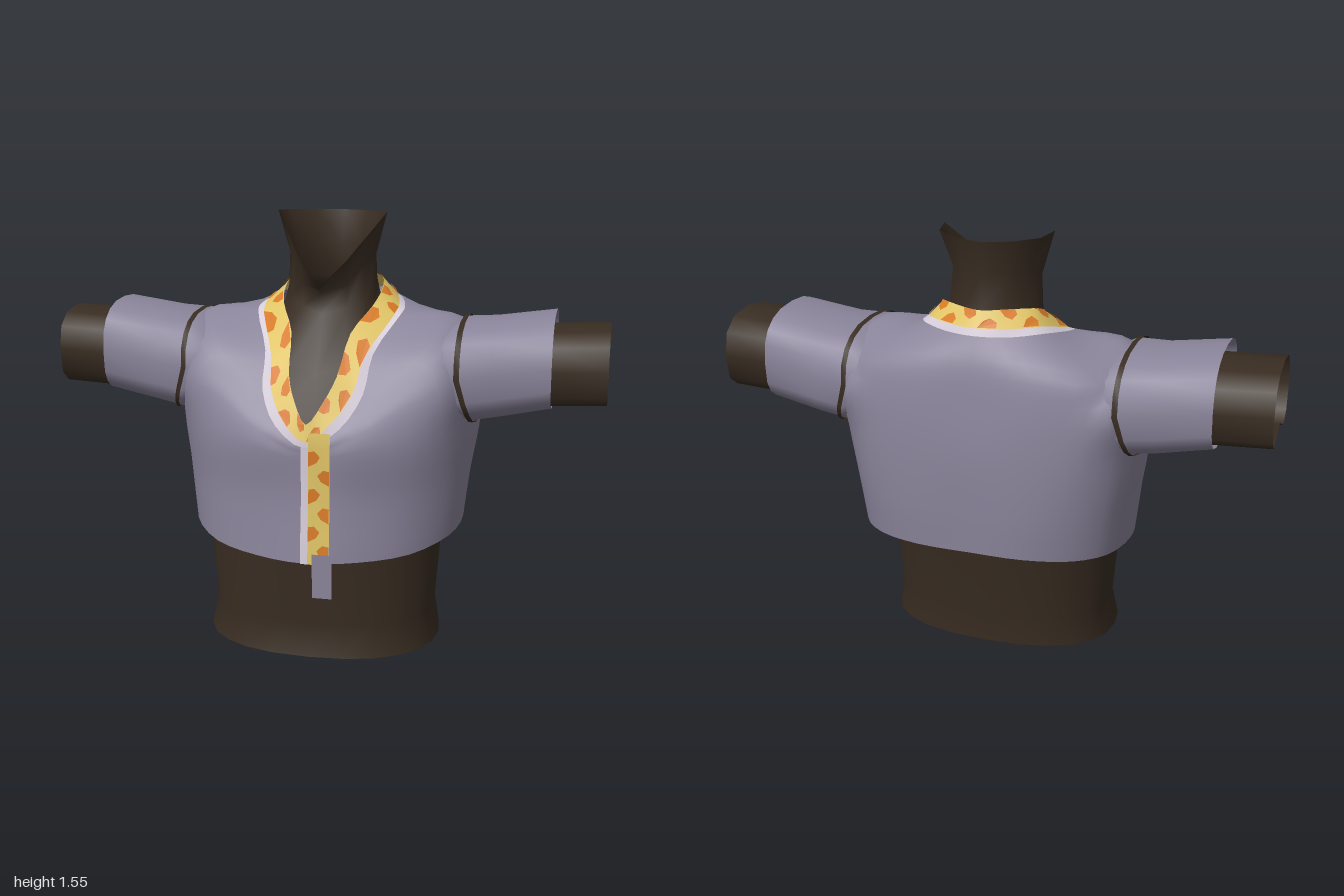
import * as THREE from 'three';

const V = (p) => new THREE.Vector3(...p);
const paint = (name, color) => {
  const m = new THREE.MeshStandardMaterial({ color, side: THREE.DoubleSide });
  m.name = name;
  return m;
};

// Half a ring (front centre to back centre on the +x side) mirrored into a closed ring
const mirrored = (half) => [
  ...half.map(V),
  ...half.slice(1, -1).reverse().map(([x, y, z]) => V([-x, y, z])),
];
const ringCurve = (ring) => new THREE.CatmullRomCurve3(ring, true);

// Skin a surface over closed rings; skip(centre) leaves openings
function loft(rings, su = 1, sv = 1, skip = () => false) {
  const n = rings[0].length * su, rows = (rings.length - 1) * sv;
  const dense = rings.map((r) => {
    const c = ringCurve(r);
    return Array.from({ length: n }, (_, k) => c.getPoint(k / n));
  });
  const columns = Array.from({ length: n }, (_, k) => {
    const c = new THREE.CatmullRomCurve3(dense.map((d) => d[k]));
    return Array.from({ length: rows + 1 }, (_, i) => c.getPoint(i / rows));
  });
  const pos = [], index = [], mid = new THREE.Vector3();
  for (let i = 0; i <= rows; i++) for (let k = 0; k < n; k++) pos.push(...columns[k][i].toArray());
  for (let i = 0; i < rows; i++) for (let k = 0; k < n; k++) {
    const k2 = (k + 1) % n;
    mid.addVectors(columns[k][i], columns[k2][i + 1]).multiplyScalar(0.5);
    if (skip(mid)) continue;
    const a = i * n + k, b = i * n + k2;
    index.push(a, b, b + n, a, b + n, a + n);
  }
  const g = new THREE.BufferGeometry();
  g.setAttribute('position', new THREE.Float32BufferAttribute(pos, 3));
  g.setIndex(index);
  g.computeVertexNormals();
  return g;
}

// Sideways tube from sections [x, bottom, top, back, front, dent]; lean slants the inner end,
// the underside is squarer than the top, dent lifts its lowest point
function sideTube(sections, side, sides, lean = 0) {
  return loft(sections.map(([x, yb, yt, zb, zf, dent = 0]) => {
    const ring = Array.from({ length: sides }, (_, k) => {
      const a = (k / sides) * Math.PI * 2, c = Math.cos(a), s = Math.sin(a);
      const e = c < 0 ? 0.62 : 0.8;
      let y = (yb + yt) / 2 + ((yt - yb) / 2) * Math.sign(c) * Math.abs(c) ** e;
      if (k === sides / 2) y += dent;
      const z = (zb + zf) / 2 + ((zf - zb) / 2) * Math.sign(s) * Math.abs(s) ** e;
      const shift = lean * Math.max(0, 1 - y) * (1 - (x - 0.42) / 0.39);
      return V([side * (x + shift), y, z]);
    });
    return side < 0 ? ring.reverse() : ring;
  }));
}

// Flat strip between x0 and x1 following [y, z] points downward
function strip(x0, x1, path) {
  const pos = [], index = [];
  path.forEach(([y, z], i) => {
    pos.push(x0, y, z, x1, y, z);
    const a = i * 2;
    if (i) index.push(a - 2, a + 1, a - 1, a - 2, a, a + 1);
  });
  const g = new THREE.BufferGeometry();
  g.setAttribute('position', new THREE.Float32BufferAttribute(pos, 3));
  g.setIndex(index);
  g.computeVertexNormals();
  return g;
}

// Small angular patches along both edges of a band given by at(u, s)
function patches(at, count) {
  const shape = [[-0.42, 0.02], [0.36, 0.02], [0.42, 0.3], [0.12, 0.56], [-0.2, 0.4]];
  const pos = [];
  for (let k = 0; k < count; k++) {
    const high = k % 2;
    const pts = shape.map(([du, s]) => at((k + 0.5 + du) / count, high ? 1 - s : s));
    if (high) pts.reverse();
    for (let i = 1; i < pts.length - 1; i++)
      for (const p of [pts[0], pts[i], pts[i + 1]]) pos.push(...p.toArray());
  }
  const g = new THREE.BufferGeometry();
  g.setAttribute('position', new THREE.Float32BufferAttribute(pos, 3));
  g.computeVertexNormals();
  return g;
}

export function createModel() {
  const model = new THREE.Group();
  const cloth = paint('grey violet cloth', 0x8a849a);
  const skin = paint('dark skin', 0x382c21);
  const gold = paint('gold trim', 0xdfc366);
  const orange = paint('orange pattern', 0xd67a26);
  const pale = paint('pale piping', 0xd6cdd9);
  const add = (name, geometry, material) => {
    const m = new THREE.Mesh(geometry, material);
    m.name = name;
    model.add(m);
  };

  // Waist: [y, half width, front z, back z], lower at the front
  const waist = [
    [0.015, 0.43, 0.34, -0.26], [0.13, 0.41, 0.31, -0.26],
    [0.4, 0.43, 0.35, -0.3], [0.6, 0.44, 0.33, -0.33],
  ].map(([y, w, zf, zb]) => Array.from({ length: 24 }, (_, k) => {
    const a = (k / 24) * Math.PI * 2, c = Math.cos(a), s = Math.sin(a);
    const z = (zf + zb) / 2 + ((zf - zb) / 2) * Math.sign(c) * Math.abs(c) ** 0.85;
    return V([w * Math.sign(s) * Math.abs(s) ** 0.85, y - 0.015 * c, z]);
  }));
  add('waist', loft(waist), skin);

  // Chest panel rising into the open neck, with a pointed rim under the chin
  const neck = [
    [[0, 0.8, 0.285], [0.14, 0.85, 0.27], [0.2, 1.02, 0.15], [0.23, 1.14, 0], [0.21, 1.2, -0.16], [0.125, 1.23, -0.26], [0, 1.23, -0.295]],
    [[0, 1, 0.2], [0.1, 1.03, 0.18], [0.15, 1.12, 0.09], [0.175, 1.2, -0.03], [0.17, 1.24, -0.13], [0.1, 1.27, -0.23], [0, 1.27, -0.27]],
    [[0, 1.2, 0.09], [0.08, 1.22, 0.06], [0.14, 1.25, 0], [0.165, 1.28, -0.08], [0.15, 1.3, -0.16], [0.08, 1.3, -0.22], [0, 1.3, -0.265]],
    [[0, 1.28, 0.1], [0.08, 1.3, 0.05], [0.13, 1.37, 0], [0.16, 1.4, -0.08], [0.14, 1.42, -0.15], [0.08, 1.42, -0.2], [0, 1.42, -0.245]],
    [[0, 1.3, 0.17], [0.08, 1.385, 0.09], [0.15, 1.48, 0], [0.2, 1.55, -0.07], [0.18, 1.545, -0.17], [0.1, 1.54, -0.23], [0, 1.54, -0.27]],
  ].map(mirrored);
  add('chestAndNeck', loft(neck), skin);

  // Collar outlines: inner edge, gold edge, piping edge
  const inner = mirrored([[0, 0.86, 0.35], [0.05, 0.93, 0.31], [0.085, 1.01, 0.245], [0.107, 1.14, 0.12], [0.165, 1.225, 0],
    [0.18, 1.27, -0.09], [0.165, 1.305, -0.18], [0.09, 1.31, -0.24], [0, 1.31, -0.28]]);
  const middle = mirrored([[0, 0.8, 0.365], [0.086, 0.866, 0.335], [0.144, 0.957, 0.265], [0.166, 1.064, 0.18], [0.24, 1.19, 0],
    [0.245, 1.22, -0.09], [0.2, 1.255, -0.22], [0.115, 1.255, -0.28], [0, 1.255, -0.31]]);
  const outer = mirrored([[0, 0.78, 0.366], [0.112, 0.845, 0.335], [0.178, 0.95, 0.255], [0.194, 1.075, 0.155], [0.262, 1.19, 0],
    [0.266, 1.21, -0.09], [0.218, 1.235, -0.23], [0.12, 1.23, -0.29], [0, 1.23, -0.32]]);

  // Jacket body from hem to collar, open where the sleeves join
  const body = [
    [[0, 0.37, 0.385], [0.18, 0.375, 0.35], [0.35, 0.39, 0.27], [0.47, 0.42, 0.12], [0.5, 0.44, -0.06], [0.46, 0.45, -0.24], [0.36, 0.455, -0.34], [0.2, 0.46, -0.395], [0, 0.46, -0.4]],
    [[0, 0.6, 0.362], [0.18, 0.6, 0.34], [0.36, 0.6, 0.265], [0.49, 0.6, 0.11], [0.52, 0.61, -0.06], [0.48, 0.61, -0.25], [0.37, 0.61, -0.355], [0.2, 0.61, -0.405], [0, 0.61, -0.405]],
    [[0, 0.74, 0.364], [0.17, 0.77, 0.355], [0.35, 0.79, 0.285], [0.49, 0.81, 0.155], [0.55, 0.82, -0.05], [0.51, 0.82, -0.26], [0.39, 0.82, -0.36], [0.2, 0.82, -0.405], [0, 0.82, -0.405]],
    [[0, 0.76, 0.365], [0.17, 0.825, 0.342], [0.33, 0.92, 0.26], [0.48, 0.97, 0.188], [0.53, 1, -0.03], [0.5, 1, -0.32], [0.4, 1, -0.352], [0.2, 1, -0.39], [0, 1, -0.385]],
    [[0, 0.77, 0.366], [0.15, 0.84, 0.338], [0.27, 0.96, 0.245], [0.43, 1.09, 0.152], [0.475, 1.174, -0.03], [0.47, 1.17, -0.15], [0.42, 1.1, -0.305], [0.2, 1.13, -0.36], [0, 1.14, -0.36]],
  ].map(mirrored);
  const armhole = (p) => Math.abs(p.x) > 0.475 && p.y > 0.87 && p.y < 1.165 && p.z > -0.28 && p.z < 0.13;
  add('jacketBody', loft([...body, outer], 3, 4, armhole), cloth);
  add('collarPiping', loft([outer, middle], 3), pale);
  add('collarTrim', loft([middle, inner], 3), gold);

  // Collar pattern, lifted slightly off the trim
  const inCurve = ringCurve(inner), midCurve = ringCurve(middle);
  const onCollar = (u, s) => {
    const t = (u + 1) % 1;
    const a = midCurve.getPoint(t), b = inCurve.getPoint(t);
    const across = b.clone().sub(a);
    const normal = midCurve.getTangent(t).cross(across).normalize();
    return a.addScaledVector(across, s).addScaledVector(normal, 0.005);
  };
  add('collarPattern', patches(onCollar, 24), orange);

  // Front placket with piping, pattern and hanging tab
  const placket = [[0.835, 0.364], [0.785, 0.371], [0.6, 0.369], [0.48, 0.381], [0.37, 0.39]];
  add('placketTrim', strip(0.012, 0.088, placket), gold);
  add('placketPiping', strip(-0.014, 0.012, placket.slice(1)), pale);
  const onPlacket = (u, s) => V([0.088 - 0.076 * s, 0.38 + 0.4 * u, 0.394 - 0.02 * Math.min(1, u * 1.75)]);
  add('placketPattern', patches(onPlacket, 6), orange);
  add('hangingTab', strip(0.03, 0.1, [[0.41, 0.396], [0.25, 0.396]]), cloth);

  // Sleeves, dark shoulder seams and bare arms
  for (const [label, side] of [['left', 1], ['right', -1]]) {
    add(label + 'Sleeve', sideTube([
      [0.42, 0.86, 1.15, -0.31, 0.17], [0.48, 0.828, 1.178, -0.327, 0.187],
      [0.6, 0.842, 1.185, -0.315, 0.155], [0.81, 0.88, 1.215, -0.31, 0.15],
    ], side, 20, 0.36), cloth);
    add(label + 'ShoulderSeam', sideTube([
      [0.481, 0.821, 1.184, -0.334, 0.194], [0.5, 0.823, 1.186, -0.332, 0.189],
    ], side, 20, 0.36), skin);
    add(label + 'Arm', sideTube([
      [0.55, 0.88, 1.15, -0.26, 0.11], [0.8, 0.885, 1.17, -0.265, 0.11], [1, 0.895, 1.18, -0.26, 0.105, 0.06],
    ], side, 12), skin);
  }
  return model;
}
